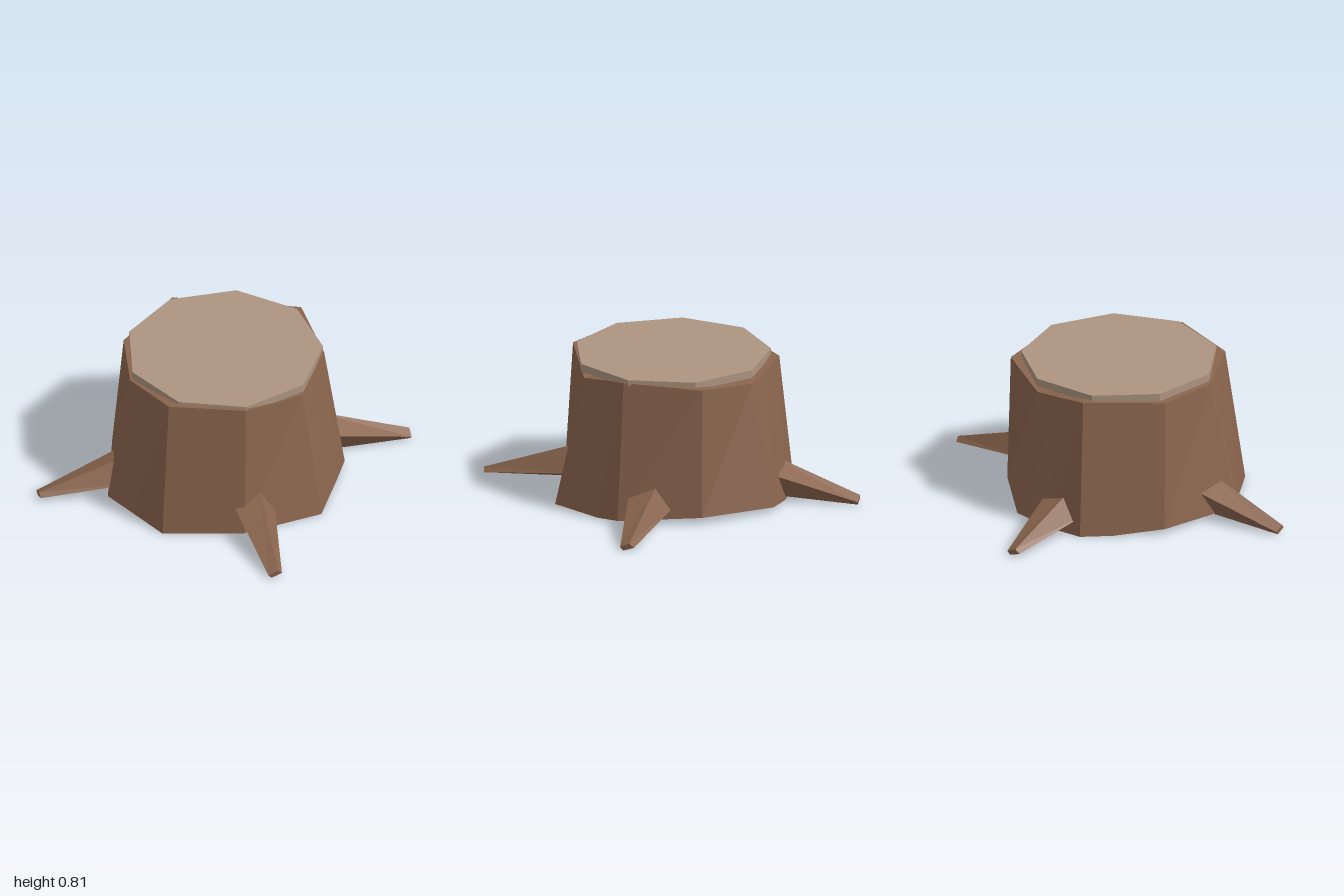
import * as THREE from 'three';

// flat-shaded geometry from a list of triangles (each three [x, y, z] corners)
function facets(tris) {
  const g = new THREE.BufferGeometry();
  g.setAttribute('position', new THREE.Float32BufferAttribute(tris.flat(2), 3));
  g.computeVertexNormals();
  return g;
}

const fan = (pts) => pts.slice(2).map((p, i) => [pts[0], pts[i + 1], p]);

function trunkGeometry() {
  // uneven nine-sided trunk: bottom corner, then the top corner above it;
  // extra rows mark where the lifted underside meets the ground
  const rows = [
    [-0.01, 0.03, -0.69, 0, 0.73, -0.55],
    [0.39, 0.04, -0.49, 0.37, 0.78, -0.48],
    [0.66, 0.02, -0.11, 0.55, 0.79, -0.07],
    [0.635, 0, 0.05, 0.52, 0.77, 0.05],
    [0.59, 0, 0.37, 0.47, 0.73, 0.26],
    [0.19, 0, 0.6, 0.19, 0.8, 0.54],
    [-0.26, 0, 0.66, -0.24, 0.79, 0.54],
    [-0.46, 0, 0.48, -0.385, 0.767, 0.383],
    [-0.6, 0.02, 0.38, -0.49, 0.75, 0.27],
    [-0.64, 0.03, -0.13, -0.57, 0.76, -0.08],
    [-0.5, 0, -0.38, -0.438, 0.772, -0.32],
    [-0.41, 0, -0.54, -0.35, 0.78, -0.48],
    [-0.21, 0, -0.62, -0.18, 0.755, -0.515],
  ];
  const bottom = rows.map((r) => r.slice(0, 3));
  const top = rows.map((r) => r.slice(3));
  const centre = [0, 0.76, 0];
  const tris = [];
  rows.forEach((_, i) => {
    const j = (i + 1) % rows.length;
    tris.push([bottom[i], top[i], bottom[j]], [top[i], top[j], bottom[j]]);
    tris.push([top[i], centre, top[j]]);
  });
  // underside slivers; the middle is open
  tris.push(...fan([12, 0, 1, 2, 3].map((i) => bottom[i])));
  tris.push(...fan([7, 8, 9, 10].map((i) => bottom[i])));
  return facets(tris);
}

function rootGeometry() {
  // twisted four-sided section at the trunk, tapering to the tip
  const base = [[0.09, 0.19, 0.51], [0.25, 0.24, 0.46], [0.34, 0.09, 0.45], [0.19, 0.02, 0.52]];
  const tip = [[0.375, 0.02, 1.0], [0.425, 0.045, 0.98], [0.445, 0.02, 0.965], [0.39, 0, 0.99]];
  const tris = [...fan(tip.slice().reverse()), ...fan(base)];
  for (let i = 0; i < 4; i++) {
    const j = (i + 1) % 4;
    tris.push([base[i], tip[i], base[j]], [tip[i], tip[j], base[j]]);
  }
  return facets(tris);
}

export function createModel() {
  const bark = new THREE.MeshStandardMaterial({
    name: 'bark brown', color: 0x8a654e, flatShading: true, side: THREE.DoubleSide,
  });
  const wood = new THREE.MeshStandardMaterial({
    name: 'cut wood', color: 0xad9581, flatShading: true,
  });
  const model = new THREE.Group();
  model.name = 'treeStump';

  const add = (name, geometry, material) => {
    const mesh = new THREE.Mesh(geometry, material);
    mesh.name = name;
    model.add(mesh);
    return mesh;
  };

  add('trunk', trunkGeometry(), bark);

  // pale slab on the cut top
  const slab = add('cutTop', new THREE.CylinderGeometry(0.55, 0.55, 0.045, 9), wood);
  slab.position.y = 0.7875;
  slab.rotation.y = Math.PI;

  // four roots, a quarter turn apart
  const root = rootGeometry();
  ['frontRoot', 'leftRoot', 'backRoot', 'rightRoot'].forEach((name, i) => {
    add(name, root, bark).rotation.y = (i * Math.PI) / 2;
  });

  return model;
}
